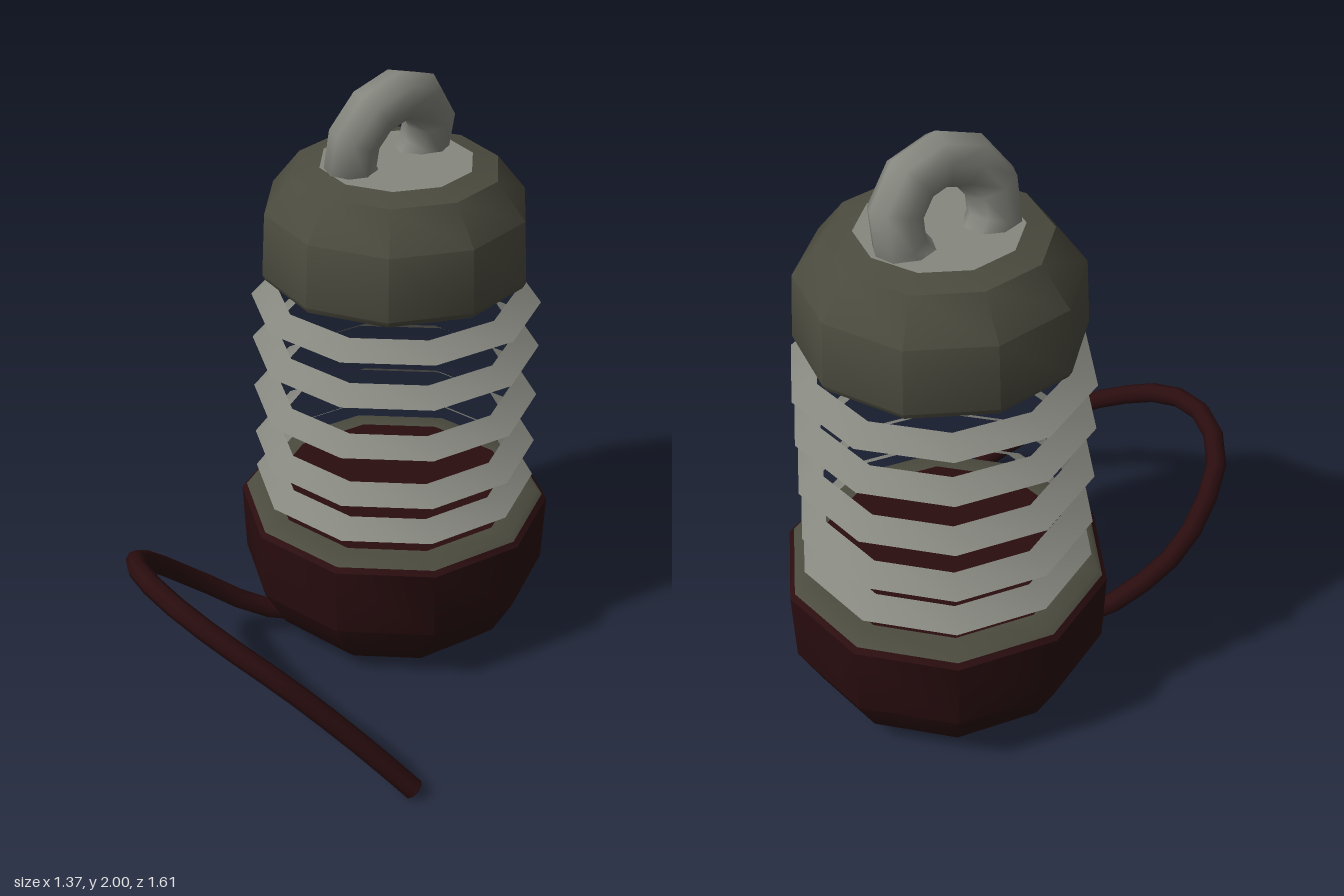
import * as THREE from 'three';
import { toCreasedNormals } from 'three/addons/utils/BufferGeometryUtils.js';

const mat = (name, color) => {
  const m = new THREE.MeshStandardMaterial({ color, side: THREE.DoubleSide });
  m.name = name;
  return m;
};

export function createModel() {
  const red = mat('dark red', 0x2a0d0f);
  const olive = mat('olive metal', 0x4c4b3f);
  const grey = mat('grey metal', 0x86877f);

  const model = new THREE.Group();
  model.name = 'lantern';
  const body = new THREE.Group();
  body.name = 'body';
  body.position.set(-0.16, 0, -0.285);
  model.add(body);

  const add = (parent, name, geometry, material) => {
    const mesh = new THREE.Mesh(geometry, material);
    mesh.name = name;
    parent.add(mesh);
    return mesh;
  };

  // Ten-sided turned part; profile runs from bottom to top as [radius, y]
  const turned = (name, profile, material, degrees) => {
    const points = profile.map(([r, y]) => new THREE.Vector2(r, y));
    const geometry = new THREE.LatheGeometry(points, 10, THREE.MathUtils.degToRad(degrees));
    return add(body, name, toCreasedNormals(geometry, 0.66), material);
  };

  // Bowl-shaped base with a metal rim and a red floor
  turned('base', [[0, 0.015], [0.37, 0.015], [0.44, 0.08], [0.518, 0.22], [0.528, 0.46], [0.512, 0.475]], red, -9);
  turned('baseRim', [[0.512, 0.475], [0.495, 0.488], [0.42, 0.492]], olive, -9);
  turned('baseFloor', [[0.42, 0.492], [0, 0.495]], red, -9);

  // Open sloping rings of the cage
  for (const y of [0.555, 0.69, 0.87, 1.055, 1.215]) {
    turned('cageRing', [[0.475, y], [0.398, y + 0.048]], grey, -9);
  }

  // Cap with a chamfered shoulder, offset by half a side
  turned('cap', [[0, 1.315], [0.4, 1.32], [0.43, 1.33], [0.441, 1.35], [0.43, 1.56], [0.335, 1.68], [0.25, 1.7]], olive, 9);
  turned('capPlate', [[0.25, 1.7], [0, 1.7]], grey, 9);

  // Carrying loop sunk into the cap and leaning to one side
  const loopGeometry = new THREE.TorusGeometry(0.165, 0.083, 8, 10);
  loopGeometry.rotateZ(Math.PI / 10);
  loopGeometry.rotateY(Math.PI / 2);
  const loop = add(body, 'carryLoop', loopGeometry, grey);
  loop.position.set(-0.03, 1.757, 0.003);
  loop.rotation.z = -0.2;

  // Cable rising from the base and curling over to the ground
  const path = new THREE.CatmullRomCurve3([
    [-0.25, 0.07, 0.06], [-0.33, 0.11, 0.19], [-0.4, 0.22, 0.33], [-0.425, 0.33, 0.46],
    [-0.39, 0.45, 0.59], [-0.29, 0.55, 0.71], [-0.1, 0.585, 0.773], [0.06, 0.555, 0.762],
    [0.2, 0.49, 0.71], [0.37, 0.375, 0.61], [0.53, 0.19, 0.47], [0.655, 0.025, 0.357],
  ].map((p) => new THREE.Vector3(...p)));
  add(model, 'cable', new THREE.TubeGeometry(path, 18, 0.034, 8), red);

  // Closed end of the cable
  const plug = add(model, 'cableEnd', new THREE.CircleGeometry(0.034, 8), red);
  plug.position.copy(path.getPoint(1));
  plug.lookAt(plug.position.clone().add(path.getTangent(1)));

  return model;
}
